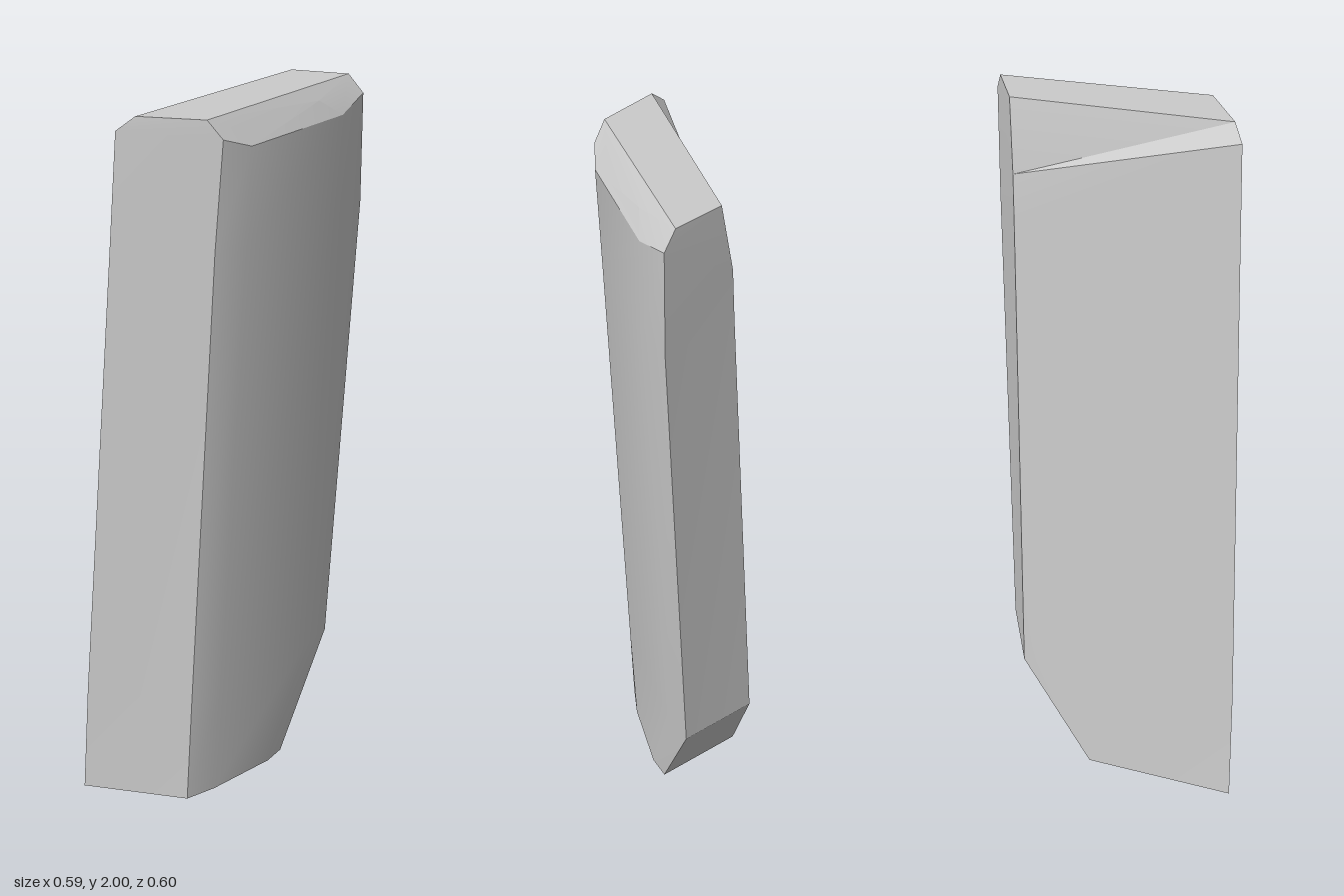
import * as THREE from 'three';
import { toCreasedNormals } from 'three/addons/utils/BufferGeometryUtils.js';

// Cross-sections of the leaning slab, from base to top. Corners run counterclockwise from above:
// front outer, front inner, two points of the bulging side, back inner, back outer.
const sections = [
  // base, cut short at the back
  [[-0.295, 0, 0.295], [0.005, 0, 0.25], [0.055, 0, 0.17], [0.143, 0, -0.03], [0.155, 0, -0.1], [-0.107, 0, -0.094]],
  // top of the sloping back cut
  [[-0.275, 0.32, 0.3], [0.02, 0.32, 0.248], [0.075, 0.32, 0.17], [0.2, 0.32, -0.18], [0.22, 0.32, -0.29], [-0.02, 0.31, -0.275]],
  // where the bulging side turns upright
  [[-0.181, 1.65, 0.3], [0.088, 1.65, 0.242], [0.145, 1.65, 0.17], [0.272, 1.65, -0.18], [0.294, 1.65, -0.3], [0.053, 1.65, -0.272]],
  // lower edge of the top bevel
  [[-0.16, 1.96, 0.3], [0.11, 1.95, 0.24], [0.16, 1.92, 0.17], [0.28, 1.92, -0.18], [0.295, 1.95, -0.3], [0.06, 1.8, -0.272]],
  // top face, its bulging side slightly dropped
  [[-0.11, 2, 0.287], [0.07, 2, 0.25], [0.11, 1.97, 0.19], [0.235, 1.97, -0.12], [0.255, 2, -0.293], [0.1, 2, -0.275]],
];

function loft(rings) {
  const n = rings[0].length;
  const index = [];
  for (let r = 0; r < rings.length - 1; r++) {
    for (let i = 0; i < n; i++) {
      const a = r * n + i, b = r * n + (i + 1) % n;
      index.push(a, b, b + n, a, b + n, a + n);
    }
  }
  // Caps: main quad plus the strip along the bulging side
  const top = (rings.length - 1) * n;
  for (const [a, b, c] of [[5, 0, 1], [5, 1, 4], [1, 2, 3], [1, 3, 4]]) {
    index.push(top + a, top + b, top + c, a, c, b);
  }
  const geometry = new THREE.BufferGeometry();
  geometry.setAttribute('position', new THREE.Float32BufferAttribute(rings.flat(2), 3));
  geometry.setIndex(index);
  return toCreasedNormals(geometry, 0.45);
}

export function createModel() {
  const group = new THREE.Group();
  group.name = 'leaningSlab';
  const slab = new THREE.Mesh(loft(sections), new THREE.MeshStandardMaterial({ color: 0xcccccc }));
  slab.name = 'slab';
  group.add(slab);
  return group;
}
